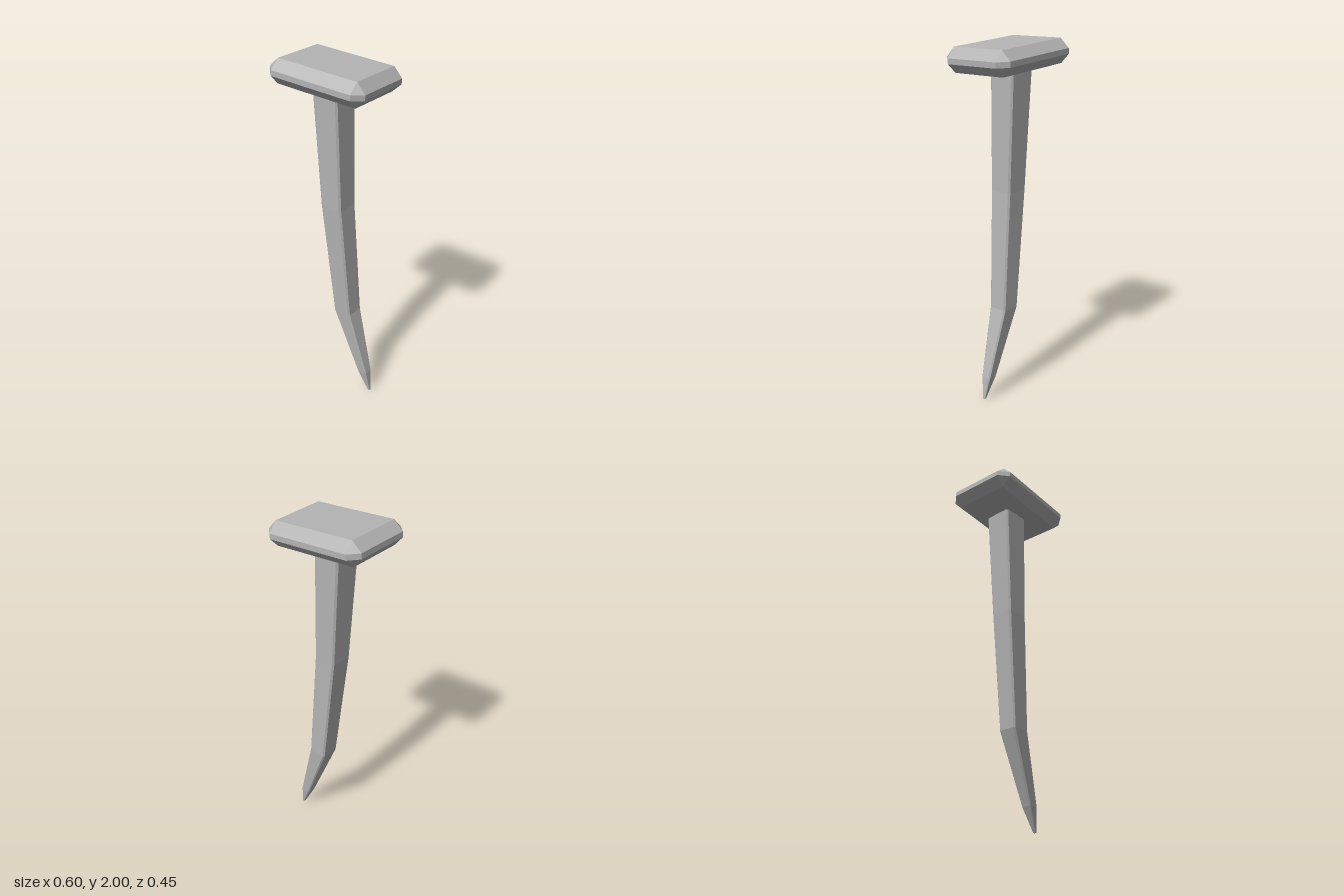
import * as THREE from 'three';
import { ConvexGeometry } from 'three/addons/geometries/ConvexGeometry.js';

const steel = new THREE.MeshStandardMaterial({ color: 0xb4b4b4, flatShading: true });
steel.name = 'grey steel';

// Box with every edge and corner cut flat: an inner box pushed out by c along each axis
function chamferedBox(hx, hy, hz, c) {
  const points = [];
  for (const x of [-1, 1]) for (const y of [-1, 1]) for (const z of [-1, 1]) {
    const inner = [x * (hx - c), y * (hy - c), z * (hz - c)];
    [x, y, z].forEach((s, axis) => {
      const p = [...inner];
      p[axis] += s * c;
      points.push(new THREE.Vector3(...p));
    });
  }
  return new ConvexGeometry(points);
}

// Loft of square rings with cut corners, capped at both ends
function loftShaft(sections) {
  const positions = [], index = [];
  for (const [y, x0, x1, z0, z1, c] of sections) {
    const ring = [
      [x0 + c, z1], [x1 - c, z1], [x1, z1 - c], [x1, z0 + c],
      [x1 - c, z0], [x0 + c, z0], [x0, z0 + c], [x0, z1 - c],
    ];
    for (const [x, z] of ring) positions.push(x, y, z);
  }
  const n = 8, last = (sections.length - 1) * n;
  for (let s = 0; s < last; s += n) {
    for (let i = 0; i < n; i++) {
      const a = s + i, b = s + (i + 1) % n;
      index.push(a, b, b + n, a, b + n, a + n);
    }
  }
  for (let i = 1; i < n - 1; i++) {
    index.push(0, i + 1, i, last, last + i, last + i + 1);
  }
  const geometry = new THREE.BufferGeometry();
  geometry.setAttribute('position', new THREE.Float32BufferAttribute(positions, 3));
  geometry.setIndex(index);
  geometry.computeVertexNormals();
  return geometry;
}

export function createModel() {
  const nail = new THREE.Group();
  nail.name = 'bentNail';

  // Slightly tilted and twisted chamfered head
  const head = new THREE.Mesh(chamferedBox(0.295, 0.067, 0.213, 0.052), steel);
  head.name = 'head';
  head.position.set(0, 1.917, 0);
  head.rotation.set(0, 0.044, -0.068);
  nail.add(head);

  // Bent shaft tapering to the tip: y, x range, z range, corner cut
  const shaft = new THREE.Mesh(loftShaft([
    [0, 0.235, 0.246, -0.038, -0.022, 0.002],
    [0.13, 0.17, 0.23, -0.06, 0, 0.007],
    [0.52, 0.015, 0.126, -0.082, 0.03, 0.009],
    [1.19, -0.055, 0.081, -0.076, 0.06, 0.01],
    [1.835, -0.095, 0.066, -0.086, 0.075, 0.01],
    [1.844, -0.087, 0.058, -0.078, 0.067, 0.008],
  ]), steel);
  shaft.name = 'shaft';
  nail.add(shaft);

  return nail;
}
